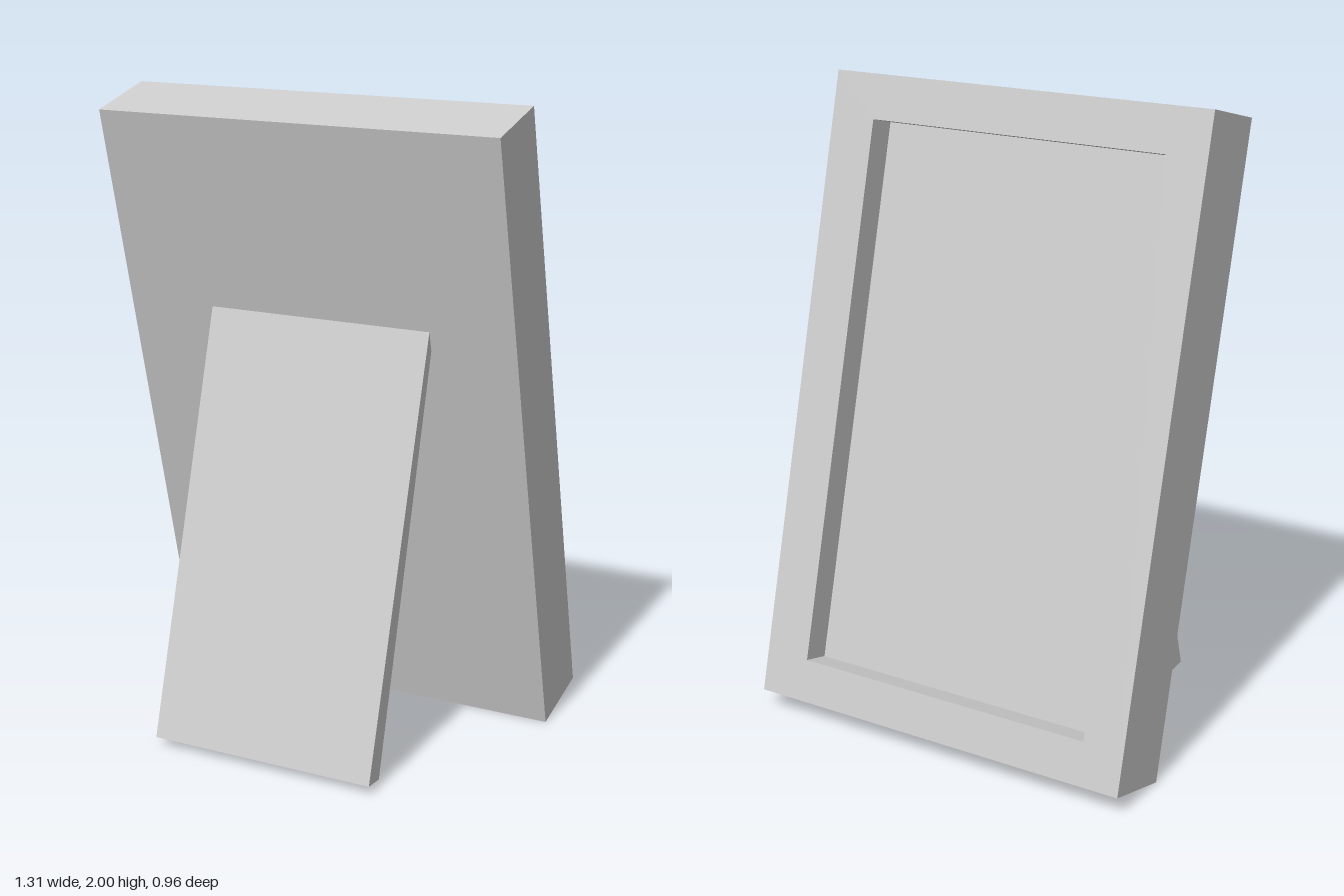
import * as THREE from 'three';

const material = new THREE.MeshStandardMaterial({ color: 0xcccccc, flatShading: true });

function addMesh(parent, name, geometry) {
  const mesh = new THREE.Mesh(geometry, material);
  mesh.name = name;
  parent.add(mesh);
  return mesh;
}

const polygon = (points, Type = THREE.Shape) =>
  new Type(points.map(([x, y]) => new THREE.Vector2(x, y)));

const rectangle = (x0, x1, y0, y1, Type) =>
  polygon([[x0, y0], [x1, y0], [x1, y1], [x0, y1]], Type);

export function createModel() {
  const model = new THREE.Group();
  model.name = 'pictureFrame';

  const width = 1.31, height = 1.996, depth = 0.247, recess = 0.093;
  const split = -depth / 2 + recess;

  // Leaning frame, its picture side facing -z
  const frame = new THREE.Group();
  frame.name = 'frame';
  frame.position.set(0, 1, -0.115);
  frame.rotation.x = 0.248;
  model.add(frame);

  // Solid panel closing the frame, also the floor of the recess
  const panel = addMesh(frame, 'panel', new THREE.BoxGeometry(width, height, depth - recess));
  panel.position.z = (split + depth / 2) / 2;

  // Border around the picture opening
  const border = rectangle(-width / 2, width / 2, -height / 2, height / 2);
  border.holes.push(rectangle(-0.52, 0.5, -height / 2 + 0.135, height / 2 - 0.14, THREE.Path));
  const rim = addMesh(frame, 'border',
    new THREE.ExtrudeGeometry(border, { depth: recess, bevelEnabled: false }));
  rim.position.z = -depth / 2;

  // Tapered prop leg, drawn in side profile (z, y) and extruded across x
  const profile = polygon([[0.413, 0.025], [0.48, 0.03], [0.095, 1.33], [0.078, 1.275]]);
  const stand = addMesh(model, 'stand',
    new THREE.ExtrudeGeometry(profile, { depth: 0.74, bevelEnabled: false }));
  stand.rotation.y = -Math.PI / 2;
  stand.position.x = 0.38;

  return model;
}
